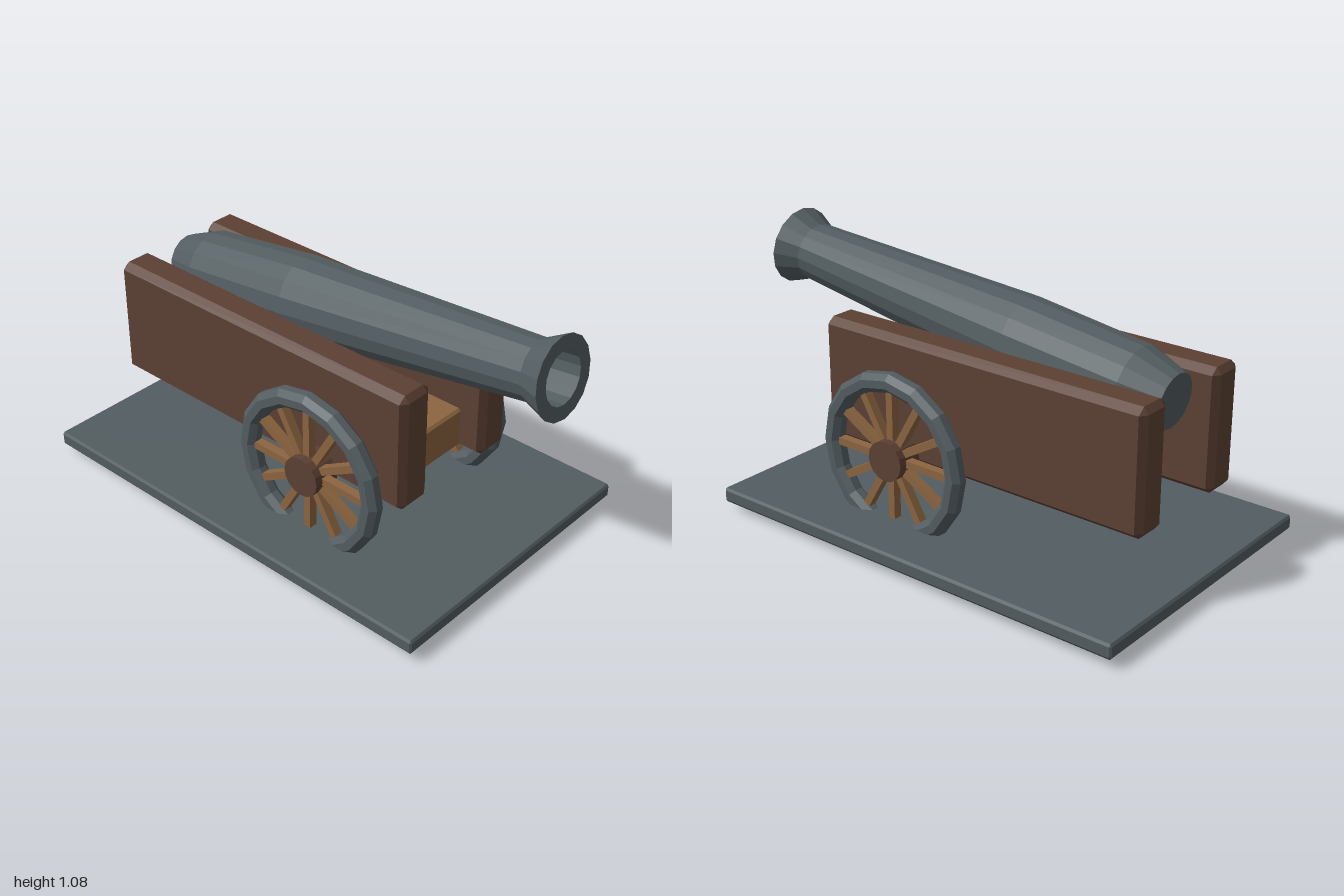
import * as THREE from 'three';
import { ConvexGeometry } from 'three/addons/geometries/ConvexGeometry.js';

const material = (name, color) => {
  const m = new THREE.MeshStandardMaterial({ color });
  m.name = name;
  return m;
};

// Faceted normals for low-poly parts
function flat(geometry) {
  const g = geometry.index ? geometry.toNonIndexed() : geometry;
  g.computeVertexNormals();
  return g;
}

// Box with one cut along each edge; c gives the cut on each axis
function chamferBox(size, c) {
  const h = size.map((s) => s / 2);
  const points = [];
  for (const sx of [-1, 1]) for (const sy of [-1, 1]) for (const sz of [-1, 1]) {
    for (let full = 0; full < 3; full++) {
      const p = [sx, sy, sz].map((s, i) => s * (i === full ? h[i] : h[i] - c[i]));
      points.push(new THREE.Vector3(...p));
    }
  }
  return new ConvexGeometry(points);
}

export function createModel() {
  const iron = material('iron', 0x535d61);
  const darkWood = material('dark wood', 0x5c4033);
  const lightWood = material('light wood', 0x8c6540);
  const model = new THREE.Group();
  model.name = 'cannon';

  const add = (parent, name, geometry, mat, x = 0, y = 0, z = 0) => {
    const mesh = new THREE.Mesh(geometry, mat);
    mesh.name = name;
    mesh.position.set(x, y, z);
    parent.add(mesh);
    return mesh;
  };

  // Base plate and the bed between the cheeks
  add(model, 'basePlate', chamferBox([1.2, 0.06, 1.85], [0.007, 0.01, 0.007]), iron, 0, 0.07, -0.075);
  add(model, 'bed', chamferBox([0.32, 0.167, 1.05], [0.01, 0.01, 0.01]), lightWood, 0, 0.412, -0.075);

  // Barrel: outside from breech to muzzle, then back down the bore
  const profile = [
    [0, -1.816], [0.106, -1.816], [0.152, -1.66], [0.162, -1.16],
    [0.115, -0.095], [0.156, 0], [0.1, 0], [0.1, -0.63], [0, -0.63],
  ].map(([r, y]) => new THREE.Vector2(r, y));
  const barrel = add(model, 'barrel', flat(new THREE.LatheGeometry(profile, 16)), iron, 0, 0.933, 0.975);
  barrel.rotation.x = Math.PI / 2 - Math.atan(0.12);

  // Tyre cross-section: an octagon with flat sides outward
  const tyreProfile = [];
  for (let i = 0; i <= 8; i++) {
    const a = ((i + 0.5) / 8) * Math.PI * 2;
    tyreProfile.push(new THREE.Vector2(0.3025 + 0.0405 * Math.cos(a), 0.0405 * Math.sin(a)));
  }
  const tyreGeometry = flat(new THREE.LatheGeometry(tyreProfile, 16));
  const hubGeometry = flat(new THREE.CylinderGeometry(0.08, 0.08, 0.115, 16));
  const spokeGeometry = new THREE.BoxGeometry(0.035, 0.23, 0.03);
  const cheekGeometry = chamferBox([0.155, 0.485, 1.45], [0.03, 0.025, 0.02]);

  for (const side of [-1, 1]) {
    const label = side > 0 ? 'left' : 'right';
    add(model, label + 'Cheek', cheekGeometry, darkWood, side * 0.2275, 0.5575, -0.175);

    // Wheel with hub and twelve spokes
    const wheel = new THREE.Group();
    wheel.name = label + 'Wheel';
    wheel.position.set(side * 0.36, 0.345, 0.16);
    model.add(wheel);
    add(wheel, 'tyre', tyreGeometry, iron).rotation.z = Math.PI / 2;
    add(wheel, 'hub', hubGeometry, darkWood, side * -0.0075).rotation.z = Math.PI / 2;
    for (let i = 0; i < 12; i++) {
      const a = (i / 12) * Math.PI * 2;
      const spoke = add(wheel, 'spoke', spokeGeometry, lightWood, 0, 0.175 * Math.cos(a), 0.175 * Math.sin(a));
      spoke.rotation.x = a;
    }
  }
  return model;
}
